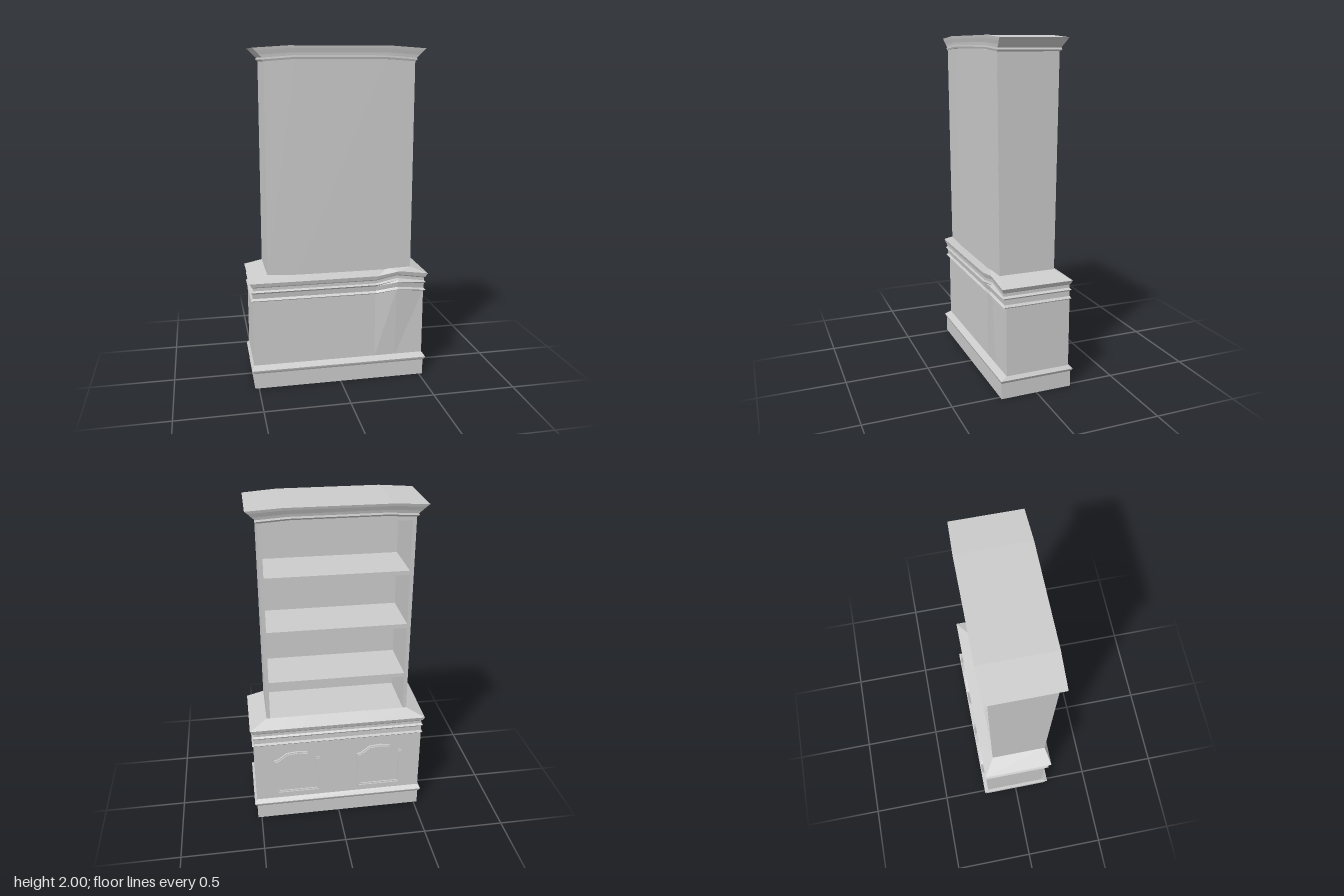
import * as THREE from 'three';

const material = new THREE.MeshStandardMaterial({ color: 0xcccccc, flatShading: true, side: THREE.DoubleSide });

// Capped loft through rectangular rings [y, x0, x1, zBack, zFront].
// Each ring is divided along x at the fractions in cuts; warp may move points.
function loft(name, rings, cuts = [0, 1], warp = null) {
  const n = cuts.length;
  const loops = rings.map(([y, x0, x1, zb, zf]) => {
    const point = (t, z) => {
      const p = new THREE.Vector3(x0 + (x1 - x0) * t, y, z);
      if (warp) warp(p, t);
      return p;
    };
    return [...cuts.map(t => point(t, zb)), ...[...cuts].reverse().map(t => point(t, zf))];
  });
  const pos = [];
  const quad = (a, b, c, d) => [a, b, c, a, c, d].forEach(p => pos.push(p.x, p.y, p.z));
  for (let i = 0; i < loops.length - 1; i++) {
    for (let j = 0; j < 2 * n; j++) {
      const k = (j + 1) % (2 * n);
      quad(loops[i][j], loops[i][k], loops[i + 1][k], loops[i + 1][j]);
    }
  }
  const top = loops[loops.length - 1], low = loops[0];
  for (let j = 0; j < n - 1; j++) {
    const f = 2 * n - 1 - j;
    quad(top[j], top[j + 1], top[f - 1], top[f]);
    quad(low[f], low[f - 1], low[j + 1], low[j]);
  }
  const geo = new THREE.BufferGeometry();
  geo.setAttribute('position', new THREE.Float32BufferAttribute(pos, 3));
  geo.computeVertexNormals();
  const mesh = new THREE.Mesh(geo, material);
  mesh.name = name;
  return mesh;
}

// Ring symmetric in x
const ring = (y, hx, zb, zf) => [y, -hx, hx, zb, zf];

// Door outline with a shallow arched top, inset by d
function doorOutline(d) {
  const w = 0.145 - d, y0 = 0.17 + d, ys = 0.425 - d, yt = 0.482 - d;
  return [[-w, y0], [w, y0], [w, ys], [w * 0.82, ys + 0.008], [w * 0.45, yt - 0.008], [0, yt],
    [-w * 0.45, yt - 0.008], [-w * 0.82, ys + 0.008], [-w, ys]].map(([x, y]) => new THREE.Vector2(x, y));
}

function doorFrame(name, outer, inner, zFront) {
  const shape = new THREE.Shape(doorOutline(outer));
  if (inner) shape.holes.push(new THREE.Path(doorOutline(inner)));
  const geo = new THREE.ExtrudeGeometry(shape, { depth: -0.19 - zFront, bevelEnabled: false });
  geo.translate(0, 0, zFront);
  const mesh = new THREE.Mesh(geo, material);
  mesh.name = name;
  return mesh;
}

export function createModel() {
  const model = new THREE.Group();
  model.name = 'bookcase';

  // Lower cabinet: the closed rear swells up and out near one end
  const swell = p => {
    if (p.z < 0) return;
    const along = Math.max(0, Math.min((p.x - 0.22) / 0.13, (0.52 - p.x) / 0.17));
    const up = THREE.MathUtils.clamp((p.y - 0.12) / 0.5, 0, 1);
    if (p.y > 0.14 && p.y < 0.6) p.z += 0.02 * along * up;
    if (p.y < 0.69) p.y += 0.026 * along * up;
  };
  const cuts = [0, 0.3, 0.71, 0.835, 1];
  model.add(loft('plinth', [
    ring(0, 0.523, 0.215, -0.215), ring(0.095, 0.523, 0.215, -0.215),
    ring(0.105, 0.533, 0.22, -0.221), ring(0.115, 0.538, 0.223, -0.224),
    ring(0.135, 0.524, 0.185, -0.2),
  ]));
  model.add(loft('lowerCabinet', [
    ring(0.13, 0.523, 0.184, -0.2), ring(0.545, 0.523, 0.186, -0.2),
  ], cuts, swell));
  model.add(loft('waistMoulding', [
    ring(0.54, 0.523, 0.193, -0.2), ring(0.548, 0.532, 0.206, -0.208),
    ring(0.56, 0.522, 0.196, -0.2), ring(0.59, 0.522, 0.2, -0.2),
    ring(0.6, 0.532, 0.21, -0.208), ring(0.61, 0.52, 0.203, -0.198),
    ring(0.628, 0.52, 0.203, -0.198), ring(0.634, 0.528, 0.21, -0.203),
    ring(0.657, 0.54, 0.216, -0.21), ring(0.7, 0.434, 0.192, -0.142),
  ], cuts, swell));

  // Arched cabinet doors
  for (const side of [-1, 1]) {
    const door = new THREE.Group();
    door.name = side < 0 ? 'rightDoor' : 'leftDoor';
    door.add(doorFrame('doorPanel', 0.02, 0, -0.204));
    door.add(doorFrame('doorFrame', 0, 0.024, -0.212));
    door.add(doorFrame('doorBead', 0.006, 0.017, -0.219));
    door.position.x = side * 0.26;
    model.add(door);
  }

  // Upper case, slightly deeper toward the top
  const front = y => -0.142 - 0.013 * (y - 0.7) / 1.22;
  for (const side of [-1, 1]) {
    const wall = (y, hx, zb) => {
      const xs = [side * hx, side * (hx - 0.022)].sort((a, b) => a - b);
      return [y, ...xs, zb, front(y)];
    };
    model.add(loft(side < 0 ? 'rightWall' : 'leftWall', [wall(0.69, 0.434, 0.192), wall(1.925, 0.43, 0.202)]));
  }
  model.add(loft('backPanel', [
    ring(0.69, 0.432, 0.192, 0.168), ring(1.925, 0.428, 0.203, 0.172),
  ], [0, 0.2, 0.8, 1], (p, t) => { if (p.z > 0.18 && t > 0 && t < 1) p.z += 0.004; }));
  for (const y of [0.945, 1.275, 1.605]) {
    model.add(loft('shelf', [
      ring(y - 0.025, 0.414, 0.175, front(y) + 0.004), ring(y, 0.414, 0.175, front(y) + 0.004),
    ]));
  }
  model.add(loft('topRail', [ring(1.895, 0.414, 0.18, -0.15), ring(1.94, 0.414, 0.18, -0.15)]));

  // Crown, gently bowed upward and outward between its ends
  model.add(loft('crown', [
    ring(1.915, 0.43, 0.203, -0.157), ring(1.925, 0.442, 0.206, -0.165),
    ring(1.935, 0.438, 0.205, -0.162), ring(1.95, 0.455, 0.206, -0.166),
    ring(1.973, 0.476, 0.211, -0.176), ring(1.987, 0.492, 0.213, -0.18),
  ], [0, 0.2, 0.8, 1], (p, t) => {
    if (t === 0 || t === 1) return;
    p.y += 0.013;
    p.z += Math.sign(p.z) * 0.007;
  }));
  return model;
}
